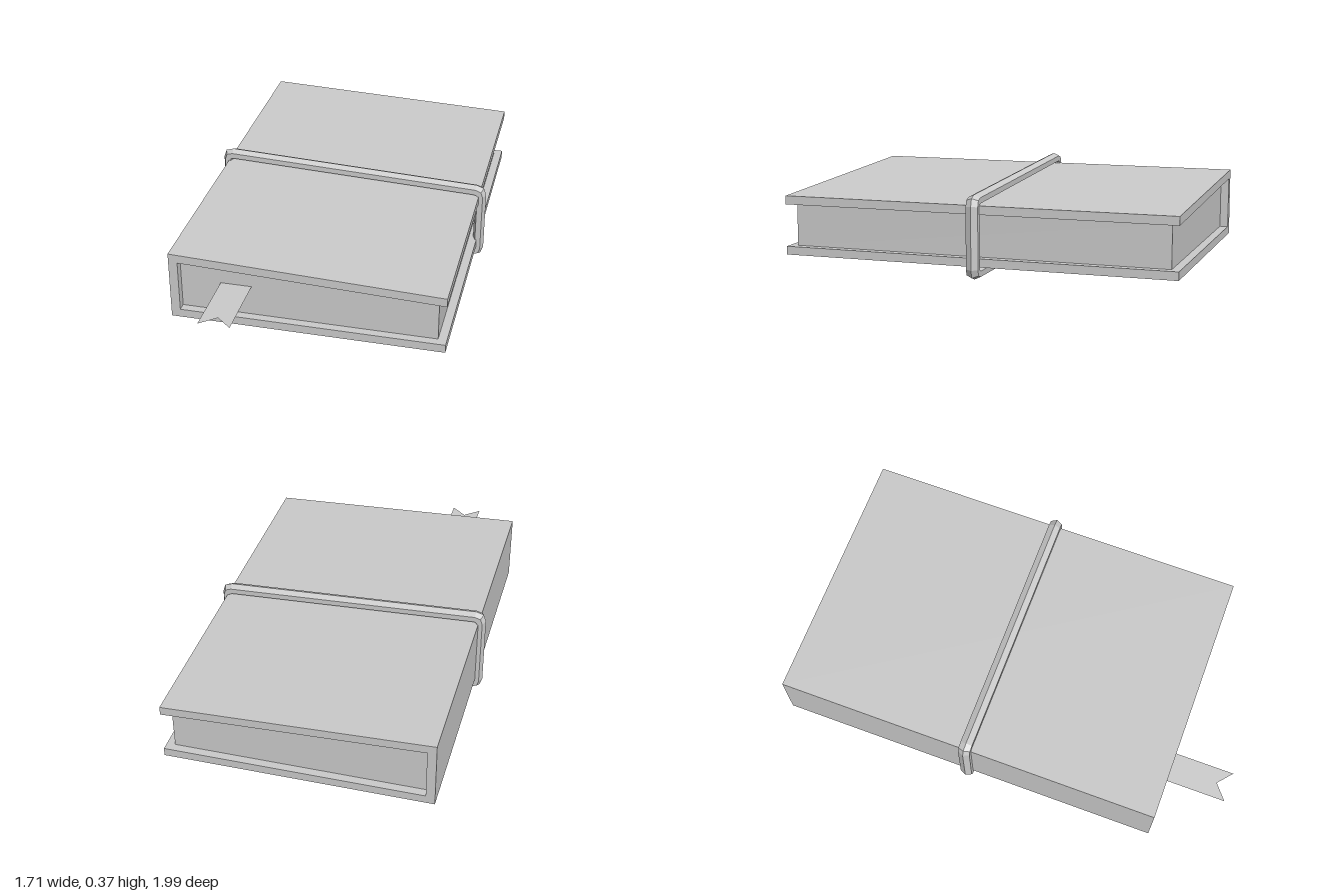
import * as THREE from 'three';

const mat = () => new THREE.MeshStandardMaterial({ color: 0xcccccc, flatShading: true });

function mesh(name, geometry, material = mat()) {
  const m = new THREE.Mesh(geometry, material);
  m.name = name;
  return m;
}

function shapeOf(points) {
  return new THREE.Shape(points.map(([x, y]) => new THREE.Vector2(x, y)));
}

// Extrudes an x-y outline along z, centred on z = 0
function prism(points, length) {
  const g = new THREE.ExtrudeGeometry(shapeOf(points), { depth: length, bevelEnabled: false });
  return g.translate(0, 0, -length / 2);
}

// Closed band: a six-sided section swept round a frame with softened corners
function strapGeometry(corners, cornerRadius, halfThickness, halfWidth) {
  const path = [];
  corners.forEach((c, i) => {
    const before = corners[(i + 3) % 4].clone().sub(c).normalize();
    const after = corners[(i + 1) % 4].clone().sub(c).normalize();
    const a = c.clone().addScaledVector(before, cornerRadius);
    const b = c.clone().addScaledVector(after, cornerRadius);
    const curve = new THREE.QuadraticBezierCurve(a, c, b);
    path.push(...curve.getPoints(2));
  });

  // Section as [outward, across] offsets, with a ridge facing out and in
  const h = halfThickness, w = halfWidth;
  const section = [[h, 0], [h / 2, w], [-h / 2, w], [-h, 0], [-h / 2, -w], [h / 2, -w]];
  const n = path.length, k = section.length;
  const positions = [], index = [];
  path.forEach((p, i) => {
    const d1 = p.clone().sub(path[(i + n - 1) % n]).normalize();
    const d2 = path[(i + 1) % n].clone().sub(p).normalize();
    const t = d1.clone().add(d2).normalize();
    const mitre = 1 / t.dot(d1);
    for (const [out, across] of section) {
      positions.push(p.x + t.y * out * mitre, p.y - t.x * out * mitre, across);
    }
    const next = (i + 1) % n;
    for (let j = 0; j < k; j++) {
      const j2 = (j + 1) % k;
      const a = i * k + j, b = next * k + j, c = next * k + j2, d = i * k + j2;
      index.push(a, b, c, a, c, d);
    }
  });
  const g = new THREE.BufferGeometry();
  g.setAttribute('position', new THREE.Float32BufferAttribute(positions, 3));
  g.setIndex(index);
  const flat = g.toNonIndexed();
  flat.computeVertexNormals();
  return flat;
}

export function createModel() {
  const model = new THREE.Group();
  model.name = 'strappedNotebook';

  // The book lies turned on the ground; local x runs from spine to fore-edge
  const book = new THREE.Group();
  book.name = 'notebook';
  book.rotation.y = 0.541;
  book.position.z = -0.06;
  model.add(book);

  const half = 0.525, length = 1.565, inset = 0.033;

  // Hard cover: back board, spine and sloping front board in one C section
  book.add(mesh('cover', prism([
    [-half, 0.05], [half, 0.05], [half, 0.083], [-half + 0.035, 0.083],
    [-half + 0.035, 0.289], [half, 0.25], [half, 0.284], [-half, 0.324],
  ], length)));

  // Page block, set back from the cover edges
  book.add(mesh('pages', prism([
    [-half + 0.035, 0.083], [half - inset, 0.083],
    [half - inset, 0.251], [-half + 0.035, 0.289],
  ], length - 2 * inset)));

  // Elastic strap round the middle
  const corners = [[-0.53, 0.022], [0.53, 0.022], [0.53, 0.301], [-0.53, 0.347]]
    .map(([x, y]) => new THREE.Vector2(x, y));
  book.add(mesh('strap', strapGeometry(corners, 0.022, 0.022, 0.024)));

  // Ribbon bookmark with a notched tail
  const ribbonMat = mat();
  ribbonMat.side = THREE.DoubleSide;
  const ribbon = new THREE.ShapeGeometry(shapeOf([
    [-0.335, -0.7], [-0.335, -1.023], [-0.274, -0.972], [-0.215, -1.023], [-0.215, -0.7],
  ]));
  ribbon.rotateX(-Math.PI / 2).translate(0, 0.205, 0);
  book.add(mesh('ribbonBookmark', ribbon, ribbonMat));

  return model;
}
